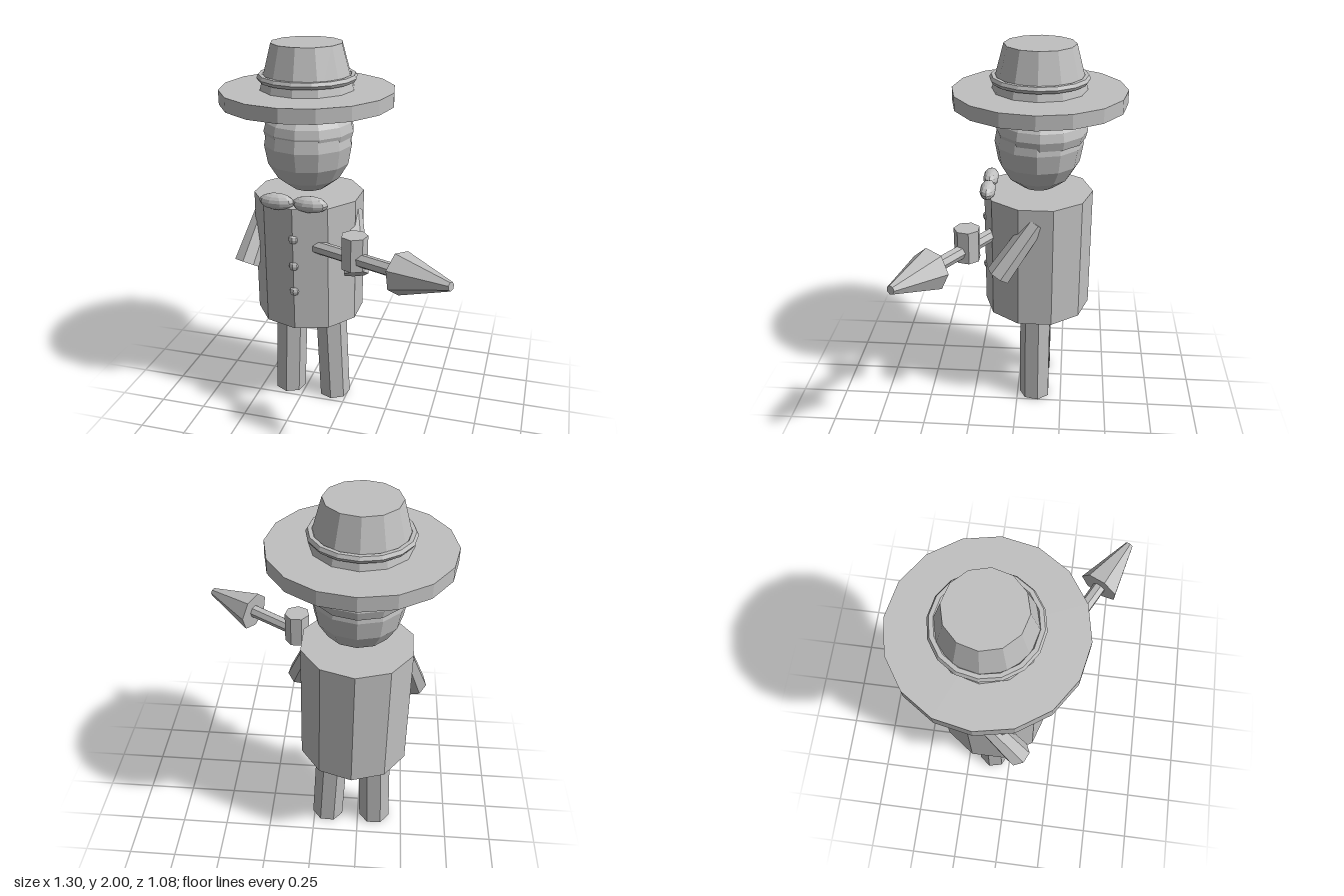
import * as THREE from 'three';

export function createModel() {
  const root = new THREE.Group();
  root.name = 'figure';
  const clay = new THREE.MeshStandardMaterial({ color: 0xc0c0c0, flatShading: true });
  clay.name = 'plain grey';

  // The body axis; parts of the figure are placed relative to it
  const figure = new THREE.Group();
  figure.name = 'snowFigure';
  figure.position.set(-0.21, 0, -0.1);
  root.add(figure);

  const add = (name, geometry, x, y, z, parent = figure) => {
    const mesh = new THREE.Mesh(geometry, clay);
    mesh.name = name;
    mesh.position.set(x, y, z);
    parent.add(mesh);
    return mesh;
  };

  // Tapered rod between two points
  const rod = (name, a, b, rA, rB, sides, parent = figure) => {
    const from = new THREE.Vector3(...a), to = new THREE.Vector3(...b);
    const dir = to.clone().sub(from);
    const mid = from.clone().add(to).multiplyScalar(0.5);
    // top of the cylinder is the upper end, so a lies at +y
    const mesh = add(name, new THREE.CylinderGeometry(rA, rB, dir.length(), sides), mid.x, mid.y, mid.z, parent);
    mesh.quaternion.setFromUnitVectors(new THREE.Vector3(0, 1, 0), dir.normalize().negate());
    return mesh;
  };

  // Torso and legs
  add('torso', new THREE.CylinderGeometry(0.288, 0.288, 0.672, 10), 0, 0.894, 0);
  for (const s of [-1, 1]) {
    rod(s > 0 ? 'leftLeg' : 'rightLeg', [s * 0.108, 0.66, 0], [s * 0.135, 0.005, 0], 0.087, 0.087, 7);
  }

  // Arms, the left one reaching further forward
  rod('leftArm', [0.235, 1.145, 0], [0.305, 0.87, 0.19], 0.052, 0.066, 7);
  rod('rightArm', [-0.235, 1.145, 0], [-0.305, 0.85, 0.17], 0.052, 0.068, 7);

  // Buttons down the front
  for (const y of [1.066, 0.918, 0.775]) {
    add('button', new THREE.SphereGeometry(0.029, 8, 6), 0, y, 0.27);
  }

  // Bow tie
  for (const s of [-1, 1]) {
    add('bowTieLobe', new THREE.SphereGeometry(0.042, 10, 8), s * 0.087, 1.256, 0.26).scale.x = 2.2;
  }

  // Head and the hair cap at its back
  add('head', new THREE.SphereGeometry(0.23, 12, 8), 0, 1.495, 0).scale.y = 1.11;
  const hair = new THREE.SphereGeometry(0.235, 12, 6, 0, Math.PI * 2, 0, Math.PI * 0.6);
  const cap = add('hair', hair, 0, 1.565, -0.014);
  cap.scale.y = 0.6;
  cap.material = clay.clone();
  cap.material.name = 'plain grey open shell';
  cap.material.side = THREE.DoubleSide;

  // Hat
  add('hatBrim', new THREE.CylinderGeometry(0.442, 0.442, 0.072, 16), 0, 1.739, 0);
  add('hatCrown', new THREE.CylinderGeometry(0.18, 0.25, 0.26, 12), 0, 1.87, 0);
  add('hatBand', new THREE.TorusGeometry(0.233, 0.019, 6, 16), 0, 1.832, 0).rotation.x = Math.PI / 2;

  // Held stick with a conical head, gripped by an upright collar
  const stick = new THREE.Group();
  stick.name = 'stick';
  root.add(stick);
  rod('shaft', [0.45, 1.06, 0.423], [-0.11, 1.016, 0.124], 0.035, 0.035, 7, stick);
  rod('stickHead', [0.636, 1.083, 0.522], [0.382, 1.053, 0.386], 0.022, 0.108, 7, stick);
  add('collar', new THREE.CylinderGeometry(0.067, 0.067, 0.17, 7), 0.125, 1.067, 0.241, stick);

  return root;
}
